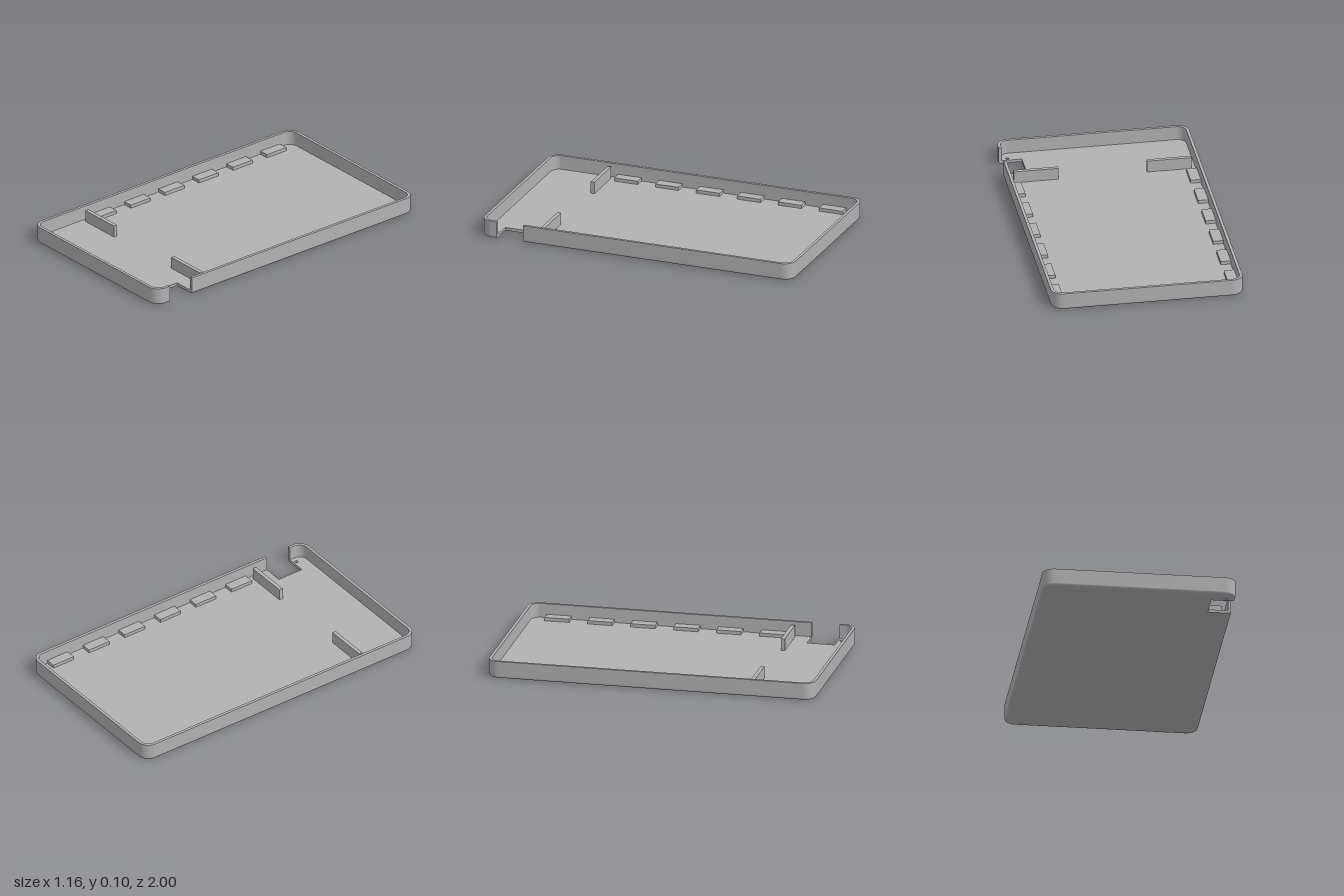
import * as THREE from 'three';
import { toCreasedNormals } from 'three/addons/utils/BufferGeometryUtils.js';

const W = 0.58, L = 1, H = 0.105;          // half width, half length, height
const R = 0.07, WALL = 0.018, FLOOR = 0.018; // corner radius, thicknesses
const FILLET = 0.012;
const NOTCH = { x: 0.44, back: 0.725, front: 0.895 };

// Rounded outline that starts and ends at the notch; plan y is -z
function outline(inset) {
  const cx = W - R, cy = L - R, r = R - inset;
  const points = [new THREE.Vector2(W - inset, -NOTCH.back)];
  [[cx, cy], [-cx, cy], [-cx, -cy], [cx, -cy]].forEach(([x, y], k) => {
    for (let i = 0; i <= 10; i++) {
      const a = (k + i / 10) * Math.PI / 2;
      points.push(new THREE.Vector2(x + r * Math.cos(a), y + r * Math.sin(a)));
    }
  });
  points.push(new THREE.Vector2(W - inset, -NOTCH.front));
  return points;
}

function extrudeUp(shape, depth, steps = 1) {
  const g = new THREE.ExtrudeGeometry(shape, { depth, steps, bevelEnabled: false, curveSegments: 12 });
  return g.rotateX(-Math.PI / 2);
}

// Round the lower outside edge by pulling the outer rim inwards
function filletBottom(g) {
  const p = g.attributes.position;
  for (let i = 0; i < p.count; i++) {
    const x = p.getX(i), z = p.getZ(i);
    const rise = THREE.MathUtils.clamp(p.getY(i), 0, FILLET);
    const kx = THREE.MathUtils.clamp(x, R - W, W - R);
    const kz = THREE.MathUtils.clamp(z, R - L, L - R);
    const d = Math.hypot(x - kx, z - kz);
    if (d < R - 0.001) continue;
    const inset = FILLET - Math.sqrt(FILLET ** 2 - (FILLET - rise) ** 2);
    const s = (R - inset) / d;
    p.setX(i, kx + (x - kx) * s);
    p.setZ(i, kz + (z - kz) * s);
  }
  return g;
}

export function createModel() {
  const group = new THREE.Group();
  const grey = new THREE.MeshStandardMaterial({ color: 0xb2b2b2 });
  grey.name = 'grey';

  const add = (name, geometry, x = 0, y = 0, z = 0) => {
    const mesh = new THREE.Mesh(geometry, grey);
    mesh.name = name;
    mesh.position.set(x, y, z);
    group.add(mesh);
  };

  // Floor with the side notch and a small cord hole
  const floorShape = new THREE.Shape([
    ...outline(0),
    new THREE.Vector2(NOTCH.x, -NOTCH.front),
    new THREE.Vector2(NOTCH.x, -NOTCH.back),
  ]);
  floorShape.holes.push(new THREE.Path().absarc(0.525, -0.916, 0.01, 0, Math.PI * 2, true));
  add('floor', toCreasedNormals(filletBottom(extrudeUp(floorShape, FLOOR, 6)), 0.6));

  // Wall running round from one side of the notch to the other
  const wallShape = new THREE.Shape([...outline(0), ...outline(WALL).reverse()]);
  add('wall', toCreasedNormals(extrudeUp(wallShape, H - FLOOR), 0.6), 0, FLOOR, 0);

  for (const side of [-1, 1]) {
    const label = side > 0 ? 'left' : 'right';
    // Low pads along the long walls
    for (let i = 0; i < 6; i++) {
      add(`${label}Pad${i + 1}`, new THREE.BoxGeometry(0.065, 0.022, 0.15),
        side * 0.5325, FLOOR + 0.01, -0.82 + i * 0.263);
    }
    // Upright divider
    add(`${label}Divider`, new THREE.BoxGeometry(0.27, 0.075, 0.024),
      side * 0.403, FLOOR + 0.0355, 0.617);
  }
  return group;
}
